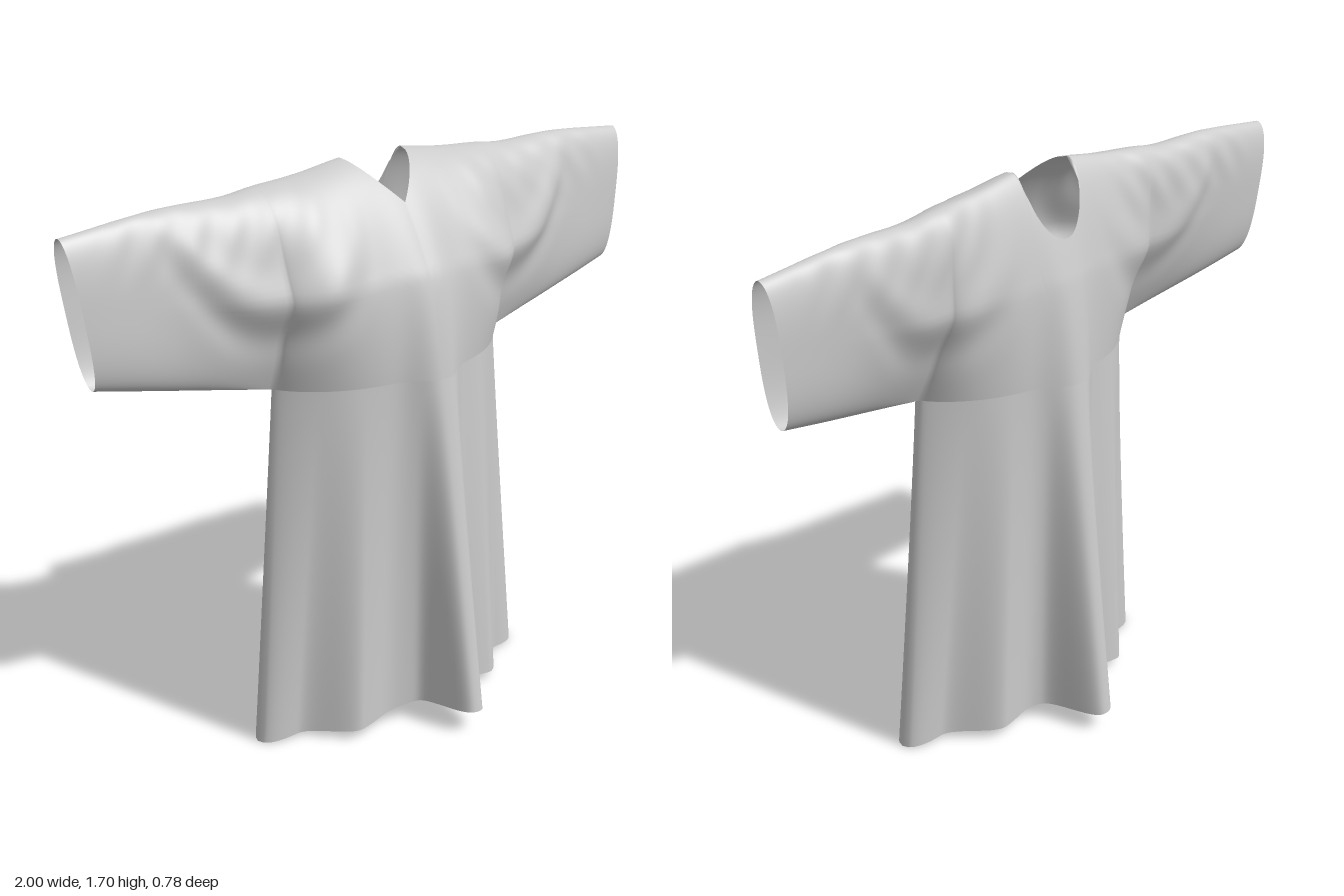
import * as THREE from 'three';
import { mergeVertices } from 'three/addons/utils/BufferGeometryUtils.js';

const { lerp, smoothstep, clamp } = THREE.MathUtils;
const ARM = 0.41;      // half width at the armpit
const ARM_Y = 1.11;    // armpit height
const NECK = 0.11;     // half width of the neck opening
const HEM_W = 0.51;    // half width at the hem
const bell = (d, w, p = 2) => Math.exp(-Math.pow(Math.abs(d / w), p));

// Smooth lookup over [position, value] pairs
function table(points, x) {
  const last = points.length - 1;
  const slope = i => {
    const [a, va] = points[Math.max(0, i - 1)], [b, vb] = points[Math.min(last, i + 1)];
    return (vb - va) / (b - a);
  };
  let i = 0;
  while (i < last - 1 && x > points[i + 1][0]) i++;
  const [a, va] = points[i], [b, vb] = points[i + 1];
  const w = b - a, t = clamp((x - a) / w, 0, 1), r = 1 - t;
  return va * r * r * (1 + 2 * t) + vb * t * t * (3 - 2 * t) + w * t * r * (slope(i) * r - slope(i + 1) * t);
}

const shoulder = [[0, 1.71], [NECK, 1.705], [0.25, 1.685], [0.42, 1.67], [0.5, 1.66], [0.72, 1.66], [1, 1.635]];
const frontBulge = [[0, 0.1], [0.2, 0.12], [0.3, 0.13], [ARM, 0.115], [0.6, 0.085], [0.75, 0.06], [1, 0.045]];
const backBulge = [[0, 0.045], [0.2, 0.055], [0.3, 0.06], [ARM, 0.085], [0.6, 0.08], [0.75, 0.065], [1, 0.05]];

// Depth of the skirt: v across (-1..1), k down from armpit (0) to hem (1)
function skirtDepth(v, k) {
  const a = Math.abs(v);
  const x = v * lerp(ARM, HEM_W, k);
  const top = 0.19 * Math.pow(1 - Math.pow(a, 2.5), 0.8) + 0.055 * bell(x - 0.015, 0.085, 2.5);
  const ledge = 0.065 * Math.sqrt(1 - Math.pow(a, 8));
  const pleat = 0.125 * (1 - smoothstep(a, 0.5, 0.8)) - 0.01 * bell(a - 0.3, 0.1);
  const fold = 0.14 * bell(x - 0.025, 0.06, 4) + 0.06 * bell(x - 0.025, 0.085);
  return lerp(top, ledge + pleat + fold, k);
}

// Skirt point for one side (+1 front, -1 back)
function skirtPoint(side, v, s) {
  const k = 1 - s;
  const x = v * lerp(ARM, HEM_W, k);
  const hem = 0.073 - 0.063 * Math.abs(v) + (side > 0 ? 0.015 : 0) * bell(x - 0.03, 0.12);
  return [x, lerp(hem, ARM_Y, s), 0.01 * k + side * skirtDepth(v, k)];
}

// Upper body and sleeve point: u across the arms (-1..1), s from bottom to top
function yokePoint(side, u, s) {
  const a = Math.abs(u);
  const out = Math.max(0, (a - ARM) / (1 - ARM));
  const low = ARM_Y + 0.11 * out;
  const high = table(shoulder, a);
  let limit = high;
  if (a < NECK) {
    const r = a / NECK;   // V in front, round scoop behind
    limit = side > 0 ? lerp(1.59, 1.705, r) : 1.705 - 0.19 * Math.sqrt(1 - r * r);
  }
  let t = (1 - Math.cos(Math.PI * s)) / 2;
  const y = lerp(low, limit, t);
  t = (y - low) / (high - low);

  // Rounded over the shoulder; straight below, so the body runs on into the skirt
  const floor = a < ARM ? side * skirtDepth(u / ARM, 0) : -0.06 * out;
  const ridge = lerp(-0.07, -0.08, a);
  const lens = Math.sqrt(Math.max(0, 1 - Math.pow(Math.abs(2 * t - 1), 3)));
  const soft = t < 0.5 ? 1 - Math.pow(1 - 2 * t, 1.25) : lens;
  const round = lerp(soft, lens, smoothstep(a, ARM, 0.9));
  let bulge = table(side > 0 ? frontBulge : backBulge, a);

  // Broad swags hanging from the shoulder under the arm
  const swag = y - (1.35 + 2.6 * (a - 0.42) ** 2);
  const fade = smoothstep(a, 0.14, 0.34) * (1 - smoothstep(a, 0.55, 0.8)) * (side > 0 ? 1 : 0.6);
  bulge += fade * (0.02 * bell(swag - 0.03, 0.07) - 0.012 * bell(swag + 0.09, 0.06));
  // Small puckers along the shoulder
  const pucker = smoothstep(a, 0.2, 0.35) * (1 - smoothstep(a, 0.8, 0.95)) * smoothstep(t, 0.6, 0.9);
  bulge += 0.004 * pucker * Math.sin(a * 55 + y * 30);

  const x = u - Math.sign(u) * out * 0.055 * (1 - t);
  return [x, y, lerp(floor, ridge, t) + side * bulge * round];
}

// Append a grid of points to the cloth, wound outward for its side
function addSheet(cloth, side, columns, rows, point) {
  const base = cloth.position.length / 3;
  const stride = rows + 1;
  columns.forEach((c, i) => {
    for (let j = 0; j <= rows; j++) cloth.position.push(...point(side, c, j / rows));
    if (!i) return;
    for (let j = 0; j < rows; j++) {
      const p = base + (i - 1) * stride + j, q = p + stride;
      if (side > 0) cloth.index.push(p, q, q + 1, p, q + 1, p + 1);
      else cloth.index.push(p, q + 1, q, p, p + 1, q + 1);
    }
  });
}

export function createModel() {
  const group = new THREE.Group();
  group.name = 'tunic';

  // Columns shared by skirt and yoke, plus the sleeve columns
  const body = [];
  for (let i = -82; i <= 82; i++) body.push(i / 82);
  const sleeve = [];
  for (let i = 1; i <= 40; i++) sleeve.push(ARM + (1 - ARM) * i / 40);
  const across = [...sleeve.map(x => -x).reverse(), ...body.map(v => v * ARM), ...sleeve];

  const cloth = { position: [], index: [] };
  for (const side of [1, -1]) {
    addSheet(cloth, side, body, 36, skirtPoint);
    addSheet(cloth, side, across, 44, yokePoint);
  }

  // Weld the seams so the cloth shades as one smooth surface
  let geometry = new THREE.BufferGeometry();
  geometry.setAttribute('position', new THREE.Float32BufferAttribute(cloth.position, 3));
  geometry.setIndex(cloth.index);
  geometry = mergeVertices(geometry, 1e-4);
  geometry.computeVertexNormals();

  const material = new THREE.MeshStandardMaterial({ color: 0xcccccc, side: THREE.DoubleSide });
  const mesh = new THREE.Mesh(geometry, material);
  mesh.name = 'tunicCloth';
  group.add(mesh);
  return group;
}
